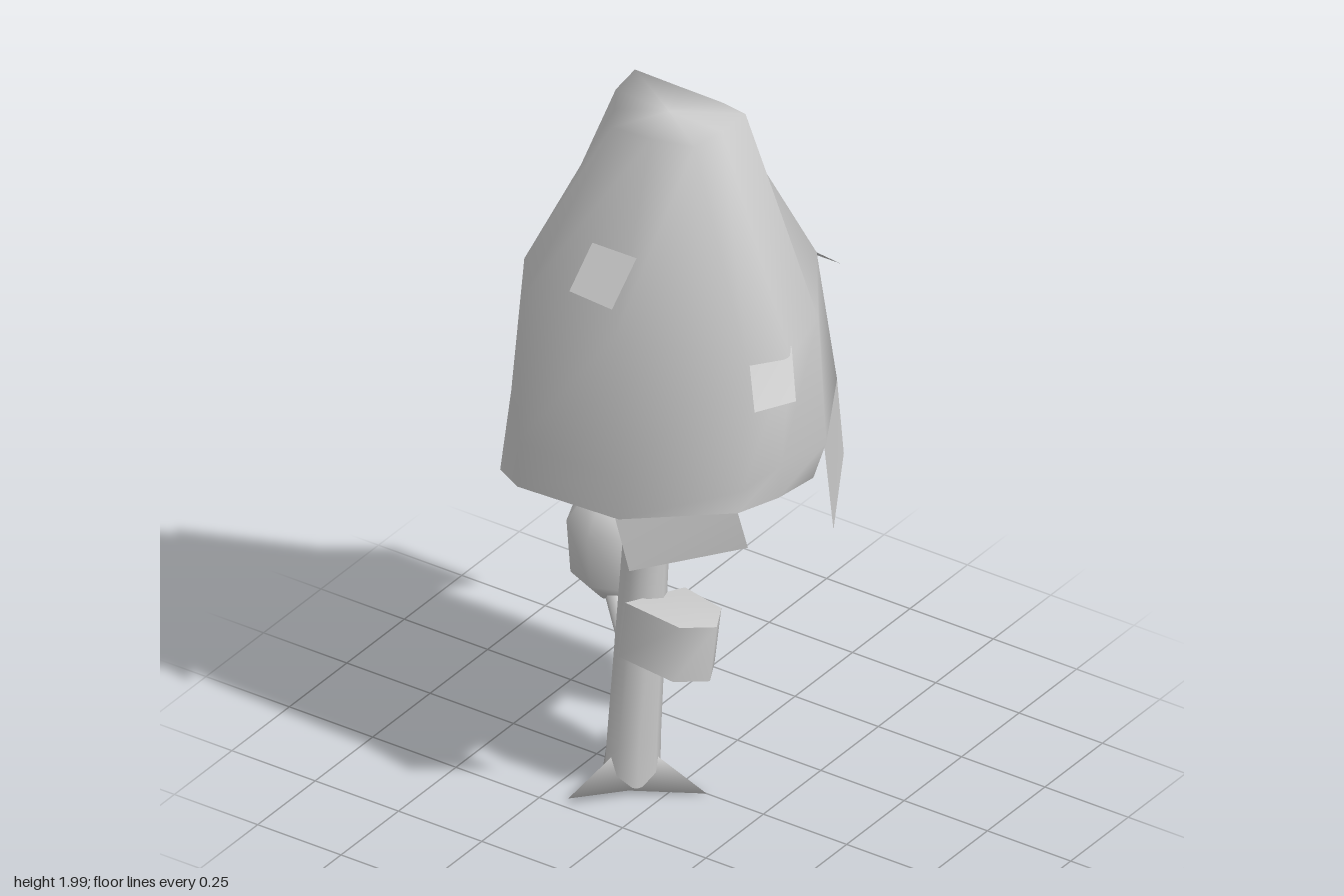
import * as THREE from 'three';

const material = new THREE.MeshStandardMaterial({ color: 0xcccccc, side: THREE.DoubleSide });

function surface(name, points, index) {
  const g = new THREE.BufferGeometry();
  g.setAttribute('position', new THREE.Float32BufferAttribute(points.flat(), 3));
  g.setIndex(index);
  g.computeVertexNormals();
  const mesh = new THREE.Mesh(g, material);
  mesh.name = name;
  return mesh;
}

// Skin over equal rings of points, listed counterclockwise from above
function loft(name, rings) {
  const n = rings[0].length, index = [];
  for (let r = 0; r < rings.length - 1; r++) {
    for (let i = 0; i < n; i++) {
      const a = r * n + i, b = r * n + (i + 1) % n;
      index.push(a, b, b + n, a, b + n, a + n);
    }
  }
  return surface(name, rings.flat(), index);
}

// Fan closing a ring towards a centre point
function cap(name, ring, centre, down) {
  const n = ring.length, index = [];
  for (let i = 0; i < n; i++) {
    const j = (i + 1) % n;
    index.push(...(down ? [j, i, n] : [i, j, n]));
  }
  return surface(name, [...ring, centre], index);
}

const flap = (name, corners) => surface(name, corners, [0, 1, 2, 0, 2, 3]);

function circle(x, y, z, r, n) {
  return Array.from({ length: n }, (_, i) => {
    const a = i / n * Math.PI * 2;
    return [x + Math.cos(a) * r, y, z - Math.sin(a) * r];
  });
}

export function createModel() {
  const tree = new THREE.Group();
  tree.name = 'tree';

  // Canopy: uneven rings, rounded under at the back and narrow at the top
  const bottom = [[-.43, .97, .06], [-.35, .94, .275], [-.26, .95, .33], [.06, .98, .355], [.36, 1.06, .27],
    [.365, 1.02, .1], [.345, .98, -.08], [.2, .96, -.25], [-.1, .94, -.27], [-.42, .95, -.14]];
  const hip = [[-.435, 1.06, 0], [-.41, 1.08, .14], [-.26, 1.08, .33], [.06, 1.1, .36], [.365, 1.12, .26],
    [.375, 1.12, .1], [.37, 1.08, -.1], [.24, 1.1, -.335], [-.1, 1.07, -.32], [-.435, 1.04, -.16]];
  const middle = [[-.385, 1.49, 0], [-.35, 1.5, .17], [-.25, 1.5, .32], [.06, 1.52, .37], [.36, 1.47, .23],
    [.4, 1.44, .1], [.37, 1.46, -.065], [.21, 1.48, -.29], [-.11, 1.5, -.3], [-.385, 1.52, -.14]];
  const top = [[-.165, 1.99, .04], [-.12, 1.985, .11], [-.08, 1.98, .18], [.03, 1.98, .17], [.14, 1.98, .14],
    [.155, 1.98, .04], [.155, 1.98, -.06], [.08, 1.985, -.065], [-.04, 1.99, -.06], [-.17, 2, -.05]];
  tree.add(loft('canopy', [bottom, hip, middle, top, top.map(() => [0, 1.99, .05])]),
    cap('canopyUnderside', bottom, [-.05, .98, .05], true));

  // Loose leaf flaps around the canopy
  tree.add(
    flap('frontLeafFlap', [[-.07, 1.61, .38], [.075, 1.62, .405], [.08, 1.72, .305], [-.07, 1.7, .28]]),
    flap('backLeafFlap', [[.205, 1.39, -.4], [-.07, 1.38, -.41], [-.11, 1.5, -.3], [.21, 1.48, -.29]]),
    flap('leftLeafFlap', [[.41, 1.37, .27], [.455, 1.36, .155], [.39, 1.46, .08], [.36, 1.47, .22]]),
    flap('rightLip', [[-.11, 1.5, -.3], [-.44, 1.53, -.16], [-.385, 1.52, -.13], [-.17, 2, -.05]]));

  // Skirt flaps hanging from the canopy's lower edge
  tree.add(
    flap('frontSkirtFlap', [[.11, .86, .38], [.39, .97, .27], [.36, 1.06, .27], [.05, .98, .355]]),
    flap('leftBackSkirtFlap', [[.35, .79, -.16], [.25, .88, -.35], [.24, 1.1, -.335], [.37, 1.08, -.09]]),
    flap('rightBackSkirtFlap', [[-.2, .75, -.345], [-.43, .86, -.22], [-.435, 1.04, -.16], [-.1, 1.0, -.31]]));

  // Leaning trunk
  tree.add(loft('trunk', [circle(-.105, .03, .055, .07, 8), circle(-.1, .15, .055, .068, 8),
    circle(-.05, 1, .05, .055, 8)]));

  // Pointed roots, each a wedge tapering to its tip
  const foot = new THREE.Vector3(-.11, 0, .055);
  for (const [x, y, z] of [[.08, .01, 0], [-.17, .03, .24], [-.28, .035, -.1]]) {
    const side = new THREE.Vector3(z - foot.z, 0, foot.x - x).setLength(.075);
    const out = new THREE.Vector3(x - foot.x, 0, z - foot.z).setLength(.06);
    const l = foot.clone().add(side), r = foot.clone().sub(side), t = foot.clone().add(out);
    tree.add(surface('root', [[l.x, .025, l.z], [r.x, .025, r.z], [t.x, .1, t.z], [x, y, z]],
      [0, 3, 2, 3, 1, 2, 0, 1, 3]));
  }

  // Side branch
  const path = new THREE.CurvePath();
  const joints = [[-.1, .36, .04], [-.185, .36, -.03], [-.31, .44, -.14]].map(p => new THREE.Vector3(...p));
  path.add(new THREE.LineCurve3(joints[0], joints[1]));
  path.add(new THREE.LineCurve3(joints[1], joints[2]));
  const branch = new THREE.Mesh(new THREE.TubeGeometry(path, 5, .024, 6), material);
  branch.name = 'branch';

  // Chunky round leaf cluster on the branch
  const profile = [[0, .39], [.06, .4], [.115, .46], [.125, .61], [.075, .68], [0, .69]];
  const cluster = new THREE.Mesh(
    new THREE.LatheGeometry(profile.map(p => new THREE.Vector2(...p)), 8), material);
  cluster.name = 'roundLeafCluster';
  cluster.position.set(-.295, 0, -.15);
  tree.add(branch, cluster,
    flap('clusterSideFlap', [[-.46, .55, -.19], [-.44, .545, -.25], [-.38, .62, -.23], [-.41, .61, -.15]]),
    flap('clusterBackFlap', [[-.44, .55, -.25], [-.38, .55, -.285], [-.35, .62, -.25], [-.38, .62, -.23]]),
    flap('clusterTopFlap', [[-.25, .68, -.08], [-.18, .685, -.1], [-.2, .69, -.2], [-.27, .685, -.2]]));

  // Boxy leaf cluster on the other side, sloping down to the back
  const block = [[-.06, .45, .18], [.1, .43, .175], [.145, .4, .08], [.09, .385, -.02], [-.04, .385, -.05]];
  const lid = block.map(([x, y, z]) => [x + .012, y + .155, z - .012]);
  tree.add(loft('boxyLeafCluster', [block, lid]),
    cap('boxyClusterTop', lid, [.06, .575, .06], false),
    cap('boxyClusterBottom', block, [.05, .41, .06], true));
  return tree;
}
